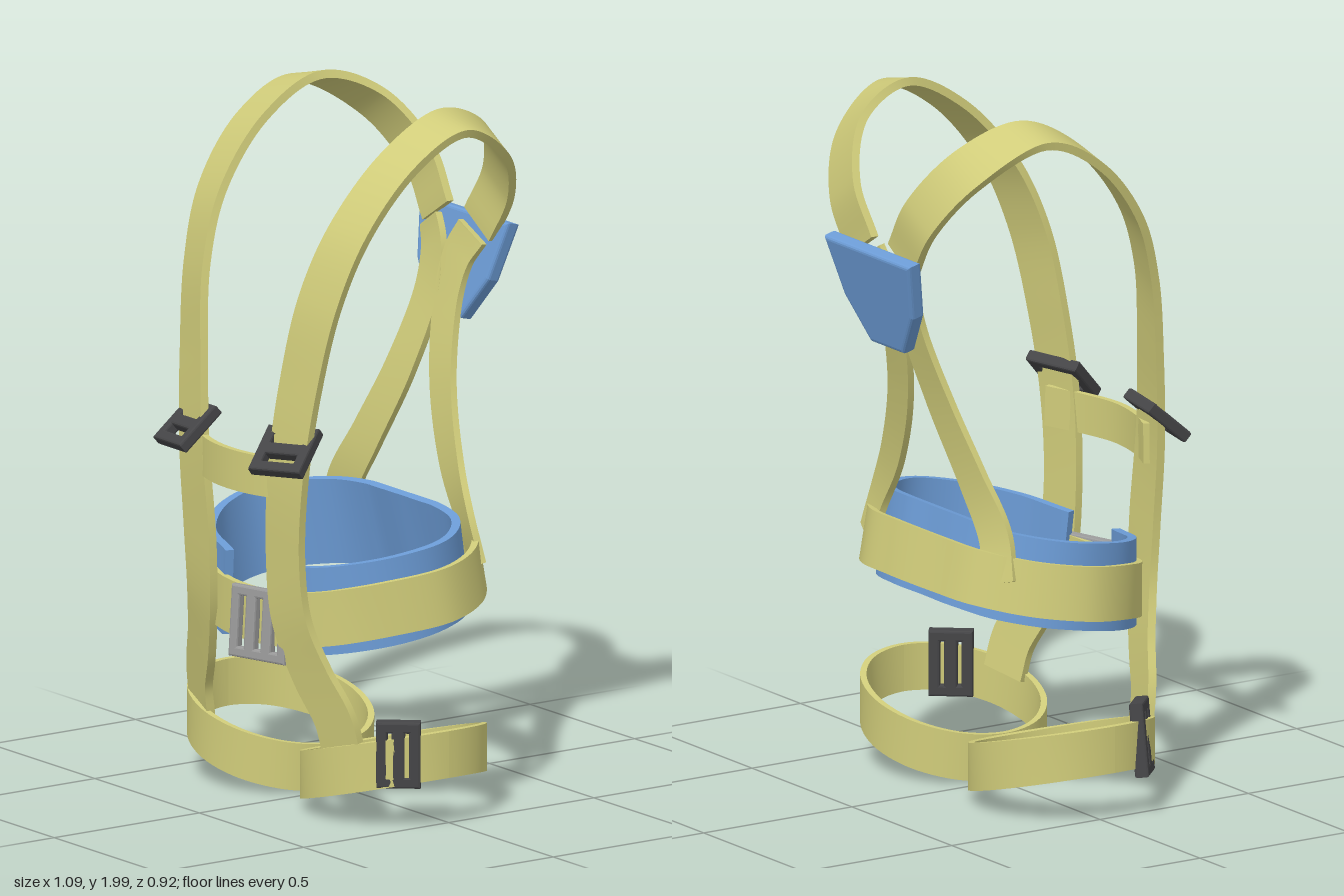
import * as THREE from 'three';

const mat = (color) => new THREE.MeshStandardMaterial({ color, side: THREE.DoubleSide });
const WEB = mat(0xd0cc7a), PAD = mat(0x6c9cd6), DARK = mat(0x454547), METAL = mat(0x9a9a9a);

// Flat band swept along rows of [x,y,z, wx,wy,wz]: centre point and width direction
function strap(name, rows, width, thick, material, closed = false, steps = 10) {
  const curve = (o) => new THREE.CatmullRomCurve3(
    rows.map((r) => new THREE.Vector3(r[o], r[o + 1], r[o + 2])), closed);
  const path = curve(0), dirs = curve(3);
  const n = steps * rows.length;
  const rings = [];
  for (let i = 0; i <= n; i++) {
    const t = i / n, p = path.getPoint(t), T = path.getTangent(t);
    const W = dirs.getPoint(t);
    W.addScaledVector(T, -W.dot(T)).normalize();
    const N = new THREE.Vector3().crossVectors(T, W);
    rings.push([[1, 1], [-1, 1], [-1, -1], [1, -1]].map(([a, b]) =>
      p.clone().addScaledVector(W, a * width / 2).addScaledVector(N, b * thick / 2)));
  }
  const pos = [], idx = [];
  for (let k = 0; k < 4; k++) {
    const base = pos.length / 3;
    rings.forEach((r) => pos.push(...r[k].toArray(), ...r[(k + 1) % 4].toArray()));
    for (let i = 0; i < n; i++) {
      const a = base + i * 2;
      idx.push(a, a + 1, a + 3, a, a + 3, a + 2);
    }
  }
  if (!closed) {
    [[rings[0], [0, 3, 2, 1]], [rings[n], [0, 1, 2, 3]]].forEach(([r, order]) => {
      const b = pos.length / 3;
      order.forEach((k) => pos.push(...r[k].toArray()));
      idx.push(b, b + 1, b + 2, b, b + 2, b + 3);
    });
  }
  const g = new THREE.BufferGeometry();
  g.setAttribute('position', new THREE.Float32BufferAttribute(pos, 3));
  g.setIndex(idx);
  g.computeVertexNormals();
  const mesh = new THREE.Mesh(g, material);
  mesh.name = name;
  return mesh;
}

const flip = (rows) => rows.map(([x, y, z, a, b, c]) => [-x, y, z, -a, b, c]);
// Half path running from the centre line outward, completed by its mirror image
const mirrored = (rows, sharedCentre) => [
  ...rows.slice(sharedCentre ? 1 : 0).reverse().map(([x, y, z, a, b, c]) => [-x, y, z, -a, b, c]), ...rows];

// Rectangular frame with slots separated by bars parallel to its height
function buckle(name, w, h, bar, depth, slots, material, at, normal, roll = 0) {
  const rect = (P, x0, y0, x1, y1) => new P().moveTo(x0, y0).lineTo(x1, y0).lineTo(x1, y1).lineTo(x0, y1).closePath();
  const bevel = 0.006, W = w / 2 - bevel, H = h / 2 - bevel;
  const shape = rect(THREE.Shape, -W, -H, W, H);
  const slot = (w - bar * (slots + 1)) / slots;
  for (let i = 0; i < slots; i++) {
    const x = -w / 2 + bar + i * (slot + bar);
    shape.holes.push(rect(THREE.Path, x, -h / 2 + bar, x + slot, h / 2 - bar));
  }
  const g = new THREE.ExtrudeGeometry(shape, {
    depth: depth - 2 * bevel, bevelThickness: bevel, bevelSize: bevel, bevelSegments: 2 });
  g.translate(0, 0, -depth / 2 + bevel);
  const mesh = new THREE.Mesh(g, material);
  mesh.name = name;
  mesh.position.set(...at);
  mesh.lookAt(at[0] + normal[0], at[1] + normal[1], at[2] + normal[2]);
  mesh.rotateZ(roll);
  return mesh;
}

export function createModel() {
  const model = new THREE.Group();
  model.name = 'harness';

  // Shoulder strap: from the leg loop up the front, over the shoulder, to the back pad
  const shoulder = [
    [0.34, 0.2, 0.245, 1, 0.15, -0.25], [0.325, 0.3, 0.265, 1, 0.2, -0.25], [0.265, 0.42, 0.3, 1, 0.25, -0.2],
    [0.215, 0.57, 0.335, 1, 0.1, -0.15], [0.205, 0.75, 0.35, 1, 0, -0.1], [0.225, 1.0, 0.355, 1, -0.1, -0.15],
    [0.255, 1.25, 0.335, 1, -0.1, -0.2], [0.295, 1.5, 0.295, 1, -0.1, -0.25], [0.33, 1.7, 0.215, 1, -0.1, -0.2],
    [0.35, 1.88, 0.06, 1, -0.15, -0.1], [0.345, 1.965, -0.12, 1, -0.25, 0], [0.29, 1.88, -0.305, 0.85, -0.5, 0],
    [0.19, 1.73, -0.395, 0.83, -0.55, 0], [0.1, 1.59, -0.395, 0.83, -0.55, 0]];
  // Diagonal back strap: from the back pad, close to the centre line, out to the belt
  const diagonal = [
    [0.1, 1.57, -0.37, 0.5, -0.86, 0], [0.06, 1.5, -0.352, 0.8, -0.5, 0], [0.047, 1.38, -0.325, 1, 0, 0],
    [0.1, 1.16, -0.268, 0.92, 0.4, 0], [0.2, 0.95, -0.225, 0.9, 0.45, 0.1], [0.29, 0.8, -0.21, 0.9, 0.45, 0.3],
    [0.33, 0.68, -0.225, 0.9, 0.35, 0.4]];
  // Leg loop: a tilted ring, lowest at the crotch
  const leg = [];
  for (let i = 0; i < 12; i++) {
    const a = i / 12 * Math.PI * 2, x = 0.27 + 0.258 * Math.cos(a);
    leg.push([x, 0.065 + x * 0.27, 0.025 + 0.25 * Math.sin(a), 0, 1, 0]);
  }
  for (const [side, map] of [['left', (r) => r], ['right', flip]]) {
    model.add(strap(side + 'ShoulderStrap', map(shoulder), 0.14, 0.024, WEB));
    model.add(strap(side + 'DiagonalBackStrap', map(diagonal), 0.11, 0.02, WEB));
    model.add(strap(side + 'LegLoop', map(leg), 0.135, 0.018, WEB, true, 6));
  }

  // Chest strap
  model.add(strap('chestStrap', mirrored([
    [0, 0.98, 0.395, 0, 1, 0], [0.13, 0.98, 0.375, 0, 1, 0], [0.25, 0.985, 0.325, 0, 1, 0]], true), 0.115, 0.018, WEB));

  // Waist pad, open at the front
  model.add(strap('waistPad', mirrored([
    [0, 0.7, -0.225, 0, 1, 0.2], [0.15, 0.7, -0.225, 0, 1, 0.2], [0.29, 0.69, -0.19, 0, 1, 0.15],
    [0.39, 0.675, -0.1, 0, 1, 0.1], [0.425, 0.66, 0, 0, 1, 0], [0.395, 0.635, 0.13, 0, 1, 0],
    [0.28, 0.605, 0.255, 0, 1, 0], [0.125, 0.585, 0.31, 0, 1, 0]], true), 0.25, 0.025, PAD));

  // Waist belt, a closed loop around the pad
  const half = [
    [0.12, 0.695, -0.28, 0, 1, 0.22], [0.27, 0.69, -0.26, 0, 1, 0.2], [0.41, 0.67, -0.155, -0.08, 1, 0.1],
    [0.475, 0.65, -0.01, -0.08, 1, 0], [0.43, 0.625, 0.14, 0, 1, 0], [0.29, 0.585, 0.27, 0, 1, 0],
    [0.12, 0.56, 0.325, 0, 1, 0]];
  model.add(strap('waistBelt', mirrored(half, false), 0.155, 0.02, WEB, true));

  // Back pad: tapered plate with soft edges
  const outline = new THREE.Shape([[-0.2, 0.135], [-0.16, -0.02], [-0.075, -0.14], [0.075, -0.14], [0.16, -0.02], [0.2, 0.135]]
    .map(([x, y]) => new THREE.Vector2(x, y)));
  const plate = new THREE.ExtrudeGeometry(outline, {
    depth: 0.025, bevelThickness: 0.01, bevelSize: 0.012, bevelSegments: 3 });
  plate.translate(0, 0, -0.0125);
  const backPad = new THREE.Mesh(plate, PAD);
  backPad.name = 'backPad';
  backPad.position.set(0, 1.465, -0.397);
  backPad.rotation.x = -0.24;
  model.add(backPad);

  // Chest buckles, tipped upward, with the bar across the strap
  model.add(buckle('leftChestBuckle', 0.155, 0.17, 0.026, 0.035, 2, DARK, [0.24, 1.07, 0.375], [0.2, 0.72, 0.62], Math.PI / 2 + 0.08));
  model.add(buckle('rightChestBuckle', 0.155, 0.16, 0.026, 0.035, 2, DARK, [-0.23, 1.055, 0.375], [-0.12, 0.72, 0.62], Math.PI / 2 + 0.08));
  // Leg buckles
  model.add(buckle('leftLegBuckle', 0.125, 0.19, 0.026, 0.045, 2, DARK, [0.475, 0.215, 0.155], [0.77, 0, 0.63]));
  model.add(buckle('rightLegBuckle', 0.14, 0.21, 0.026, 0.04, 2, DARK, [-0.472, 0.21, 0.16], [-0.65, 0.1, 0.76], -0.1));
  // Waist buckle
  model.add(buckle('waistBuckle', 0.2, 0.205, 0.024, 0.028, 3, METAL, [0.085, 0.54, 0.35], [0.28, 0.08, 0.96]));
  return model;
}
